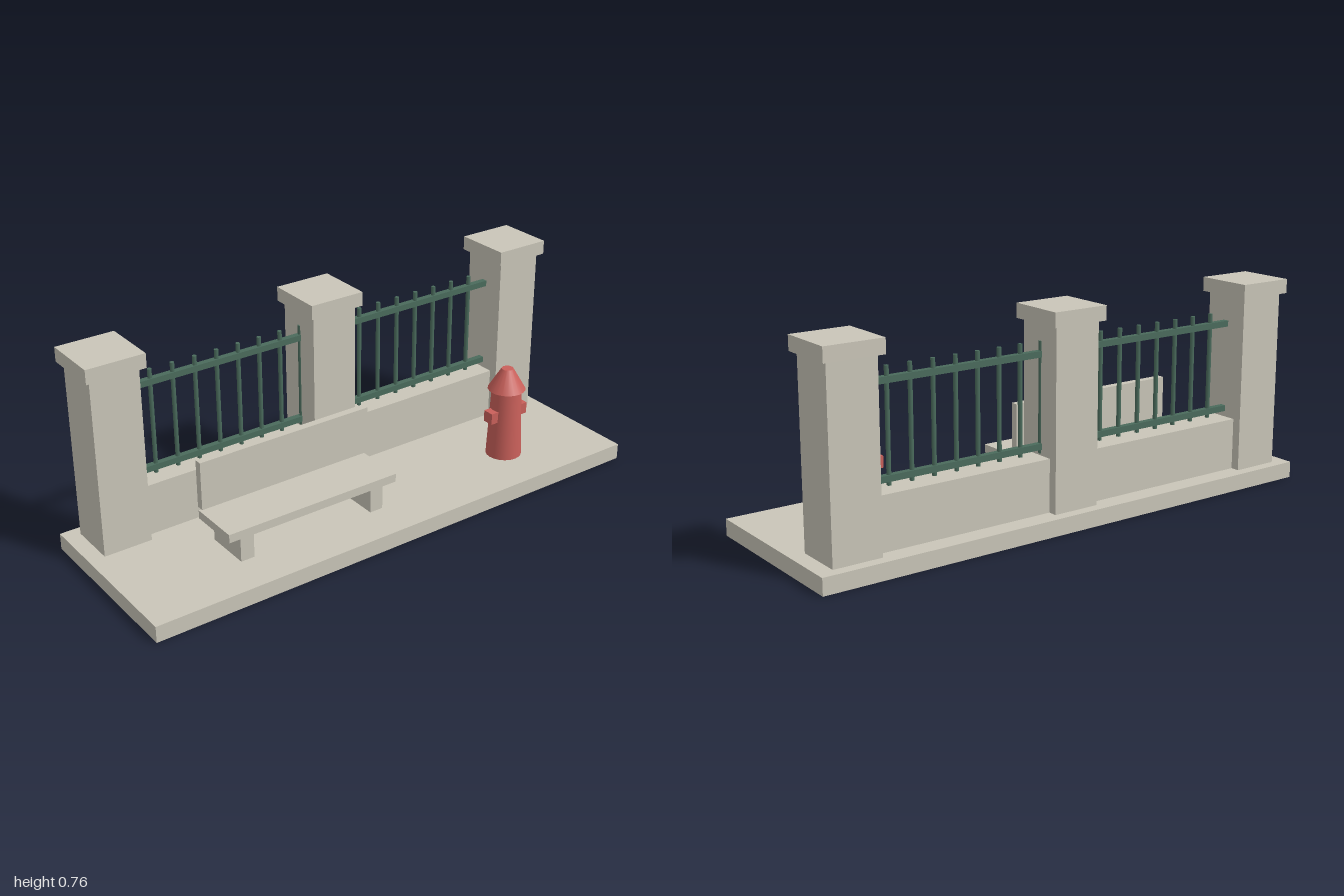
import * as THREE from 'three';

const material = (name, color) => {
  const m = new THREE.MeshStandardMaterial({ color });
  m.name = name;
  return m;
};

export function createModel() {
  const stone = material('stone', 0xc9c5b8);
  const green = material('green iron', 0x4a6b5c);
  const red = material('red paint', 0xc9605a);
  const model = new THREE.Group();
  model.name = 'streetCorner';

  const group = (name) => {
    const g = new THREE.Group();
    g.name = name;
    model.add(g);
    return g;
  };
  const add = (parent, name, geometry, mat, x, y, z) => {
    const mesh = new THREE.Mesh(geometry, mat);
    mesh.name = name;
    mesh.position.set(x, y, z);
    parent.add(mesh);
    return mesh;
  };
  // Box given by its x, y and z ranges
  const box = (parent, name, mat, [x0, x1], [y0, y1], [z0, z1]) =>
    add(parent, name, new THREE.BoxGeometry(x1 - x0, y1 - y0, z1 - z0), mat,
      (x0 + x1) / 2, (y0 + y1) / 2, (z0 + z1) / 2);

  // Pavement slab
  box(model, 'pavement', stone, [-1, 1], [0, 0.06], [-0.333, 0.333]);

  // Pillars with overhanging caps
  const wallZ = -0.204;
  for (const x of [-0.853, 0, 0.853]) {
    const pillar = group('pillar');
    add(pillar, 'pillarShaft', new THREE.BoxGeometry(0.178, 0.65, 0.178), stone, x, 0.385, wallZ);
    add(pillar, 'pillarCap', new THREE.BoxGeometry(0.214, 0.052, 0.214), stone, x, 0.734, wallZ);
  }

  // Low walls and railings, mirrored about the middle pillar
  const barGeometry = new THREE.CylinderGeometry(0.008, 0.008, 0.389, 8);
  for (const side of [-1, 1]) {
    const fence = group(side < 0 ? 'rightFence' : 'leftFence');
    const x = side * 0.4265;
    add(fence, 'lowWall', new THREE.BoxGeometry(0.675, 0.19, 0.112), stone, x, 0.155, wallZ);
    for (const y of [0.282, 0.602]) {
      add(fence, 'rail', new THREE.BoxGeometry(0.675, 0.022, 0.022), green, x, y, wallZ);
    }
    for (let i = 0; i < 8; i++) {
      add(fence, 'bar', barGeometry, green, side * (0.086 + 0.0853 * i), 0.452, wallZ);
    }
  }

  // Bench with a floating back panel
  const bench = group('bench');
  box(bench, 'benchSeat', stone, [-0.64, 0.042], [0.156, 0.187], [-0.003, 0.19]);
  box(bench, 'benchBack', stone, [-0.64, 0.042], [0.2, 0.378], [-0.006, 0.022]);
  for (const x of [-0.565, -0.033]) {
    box(bench, 'benchLeg', stone, [x - 0.026, x + 0.026], [0.06, 0.156], [0.008, 0.178]);
  }

  // Hydrant: tapered barrel, conical bonnet and side outlets
  const hydrant = group('hydrant');
  hydrant.position.set(0.608, 0, 0.12);
  add(hydrant, 'hydrantBarrel', new THREE.CylinderGeometry(0.055, 0.067, 0.268, 20), red, 0, 0.194, 0);
  add(hydrant, 'hydrantBonnet', new THREE.CylinderGeometry(0.022, 0.07, 0.081, 20), red, 0, 0.3685, 0);
  add(hydrant, 'hydrantOutlets', new THREE.BoxGeometry(0.17, 0.043, 0.043), red, 0, 0.231, 0);

  return model;
}
